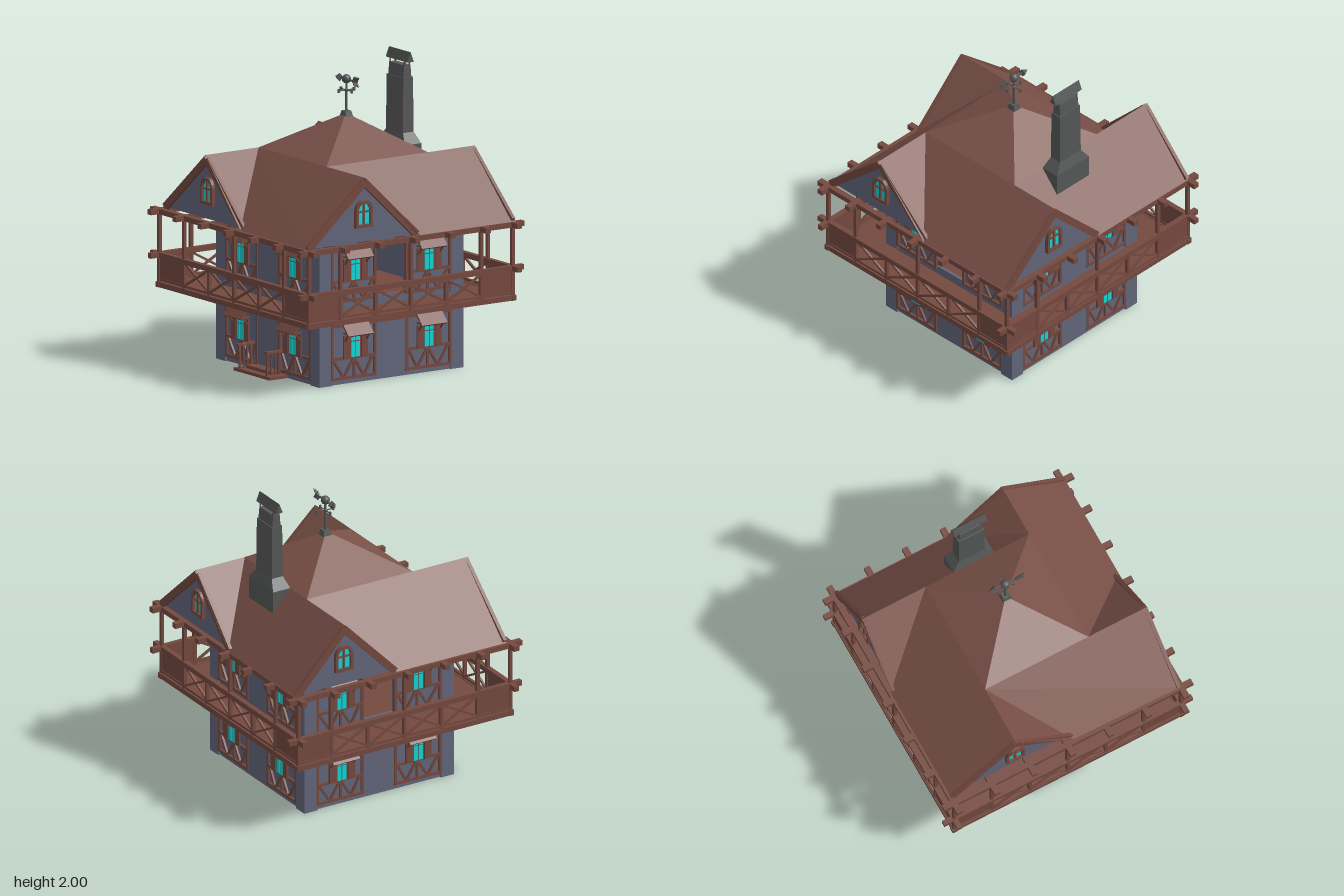
import * as THREE from 'three';

const mat = (color) => new THREE.MeshStandardMaterial({ color, flatShading: true, side: THREE.DoubleSide });
const WOOD = mat(0x74493f), ROOF = mat(0x7a5148), WALL = mat(0x62667a), IRON = mat(0x555756), GLASS = mat(0x12d6d6);
const V = (x, y, z) => new THREE.Vector3(x, y, z);

function add(parent, name, geo, material, x = 0, y = 0, z = 0) {
  const m = new THREE.Mesh(geo, material);
  m.name = name;
  m.position.set(x, y, z);
  parent.add(m);
  return m;
}
const box = (p, name, m, w, h, d, x, y, z) => add(p, name, new THREE.BoxGeometry(w, h, d), m, x, y, z);

// Timber from point a to point b, in the parent's own frame
function beam(p, name, m, a, b, w = 0.02, h = w) {
  const o = box(p, name, m, w, h, a.distanceTo(b), (a.x + b.x) / 2, (a.y + b.y) / 2, (a.z + b.z) / 2);
  o.quaternion.setFromRotationMatrix(new THREE.Matrix4().lookAt(b, a, V(0, 1, 0)));
}
function sub(parent, name, x = 0, y = 0, z = 0, ry = 0) {
  const g = new THREE.Group();
  g.name = name;
  g.position.set(x, y, z);
  g.rotation.y = ry;
  parent.add(g);
  return g;
}
function faces(p, name, m, polys) {
  const pos = [];
  for (const q of polys)
    for (let i = 1; i < q.length - 1; i++) for (const v of [q[0], q[i], q[i + 1]]) pos.push(v.x, v.y, v.z);
  const geo = new THREE.BufferGeometry();
  geo.setAttribute('position', new THREE.Float32BufferAttribute(pos, 3));
  geo.computeVertexNormals();
  add(p, name, geo, m);
}
// Box whose top is a different size from its base
function taper(p, name, m, w, d, w2, d2, y0, y1) {
  const geo = new THREE.BoxGeometry(w, y1 - y0, d), a = geo.attributes.position;
  for (let i = 0; i < a.count; i++)
    if (a.getY(i) > 0) { a.setX(i, a.getX(i) * w2 / w); a.setZ(i, a.getZ(i) * d2 / d); }
  geo.computeVertexNormals();
  add(p, name, geo, m, 0, (y0 + y1) / 2, 0);
}

// Shuttered window with a small braced awning, facing +z
function shutteredWindow(parent, x, y) {
  const g = sub(parent, 'window', x, y, 0);
  box(g, 'windowFrame', WOOD, 0.1, 0.16, 0.02, 0, 0, 0);
  for (const s of [-1, 1]) {
    box(g, 'pane', GLASS, 0.031, 0.1, 0.006, s * 0.0185, -0.02, 0.011);
    box(g, 'upperPane', GLASS, 0.031, 0.03, 0.006, s * 0.0185, 0.052, 0.011);
    box(g, 'shutter', WOOD, 0.05, 0.15, 0.014, s * 0.07, 0, 0.01);
    beam(g, 'awningBrace', WOOD, V(s * 0.085, 0.03, 0.005), V(s * 0.085, 0.09, 0.055), 0.01);
    beam(g, 'awningArm', WOOD, V(s * 0.085, 0.09, 0), V(s * 0.085, 0.09, 0.06), 0.01);
  }
  beam(g, 'awning', WOOD, V(0, 0.16, 0), V(0, 0.08, 0.072), 0.2, 0.012);
}

// Timbered storey on one side, facing +z
function facade(parent, half, y) {
  const g = sub(parent, 'timberFrame', 0, y, 0);
  const bar = (x0, y0, x1, y1, w = 0.018) => beam(g, 'timber', WOOD, V(x0, y0, -0.008), V(x1, y1, -0.008), w);
  bar(-0.47, 0.385, 0.47, 0.385);
  for (const s of [-1, 1]) {
    for (const u of [0.125, 0.465]) bar(s * u, 0.03, s * u, 0.39);
    bar(s * 0.125, 0.04, s * 0.465, 0.04);
    bar(s * 0.125, 0.17, s * 0.465, 0.17);
    const zig = [[0.14, 0.17], [0.21, 0.04], [0.29, 0.17], [0.37, 0.04], [0.455, 0.17]];
    for (let i = 0; i < 4; i++) bar(s * zig[i][0], zig[i][1], s * zig[i + 1][0], zig[i + 1][1], 0.014);
    bar(s * 0.29, 0.04, s * 0.29, 0.17, 0.014);
    shutteredWindow(g, s * 0.29, 0.245);
    box(g, 'cornerPillar', WALL, 0.1, 0.45, 0.03, s * (half - 0.05), 0.225, -0.015);
  }
}

// One side of the balcony, facing +z
function balconySide(parent, half) {
  const g = sub(parent, 'balconyRailing');
  box(g, 'deckEdge', WOOD, 2 * half + 0.04, 0.035, 0.03, 0, 0.477, 0);
  box(g, 'lowerRail', WOOD, 2 * half, 0.016, 0.02, 0, 0.51, 0);
  box(g, 'handrail', WOOD, 2 * half + 0.16, 0.035, 0.035, 0, 0.672, 0);
  box(g, 'eaveBeam', WOOD, 2 * half + 0.16, 0.035, 0.035, 0, 0.958, 0);
  const us = [-half, -0.555, -0.278, 0, 0.278, 0.555, half];
  us.forEach((u, i) => {
    const top = i % 2 === 1 || i === 0 || i === 6 ? 0.95 : 0.66;
    box(g, 'post', WOOD, 0.022, top - 0.47, 0.022, u, (top + 0.47) / 2, 0);
    box(g, 'joist', WOOD, 0.04, 0.035, 0.34, u, 0.958, -0.09);
    if (i === 6) return;
    const v = us[i + 1];
    if (i === 0 || i === 5) box(g, 'railPanel', WOOD, v - u, 0.16, 0.01, (u + v) / 2, 0.58, 0);
    else {
      beam(g, 'crossBrace', WOOD, V(u, 0.51, 0.004), V(v, 0.66, 0.004), 0.014);
      beam(g, 'crossBrace', WOOD, V(u, 0.66, -0.004), V(v, 0.51, -0.004), 0.014);
    }
  });
}

// Bargeboards, gable wall and arched window, origin at the ridge end, facing +z
function gable(g, l, r, drop) {
  faces(g, 'gableWall', WALL, [[V(-l, drop, -0.03), V(r, drop, -0.03), V(0, -0.01, -0.03)]]);
  for (const x of [-l, r])
    beam(g, 'bargeboard', WOOD, V(0, -0.03, -0.013), V(x * 0.98, drop + 0.005, -0.013), 0.024, 0.048);
  const arch = (w, h) => {
    const s = new THREE.Shape();
    s.moveTo(-w, -h); s.lineTo(w, -h); s.lineTo(w, h * 0.2);
    s.quadraticCurveTo(w, h * 0.75, w * 0.4, h);
    s.lineTo(-w * 0.4, h);
    s.quadraticCurveTo(-w, h * 0.75, -w, h * 0.2);
    return s;
  };
  const ring = arch(0.066, 0.088);
  ring.holes.push(arch(0.047, 0.068));
  const opt = { depth: 0.025, bevelEnabled: false, curveSegments: 5 };
  add(g, 'archedFrame', new THREE.ExtrudeGeometry(ring, opt), WOOD, 0, -0.24, -0.03);
  add(g, 'archedPane', new THREE.ShapeGeometry(arch(0.05, 0.07), 5), GLASS, 0, -0.24, -0.022);
  box(g, 'mullion', WOOD, 0.014, 0.14, 0.015, 0, -0.24, -0.018);
  box(g, 'glazingBar', WOOD, 0.1, 0.01, 0.015, 0, -0.225, -0.018);
}

export function createModel() {
  const root = new THREE.Group();
  root.name = 'timberHouse';
  const HX = 0.573, HZ = 0.5675;
  const body = sub(root, 'house', 0, 0, -0.035);
  box(body, 'groundFloor', WALL, 2 * HX - 0.03, 0.46, 2 * HZ - 0.03, 0, 0.23, 0);

  const points = (list) => list.map(([x, y]) => new THREE.Vector2(x, y));
  for (let i = 0; i < 4; i++) {
    const across = i % 2 === 0, half = across ? HX : HZ, dist = across ? HZ : HX, ry = i * Math.PI / 2;
    const side = sub(sub(body, 'houseSide', 0, 0, 0, ry), 'wallFace', 0, 0, dist);
    facade(side, half, 0);
    facade(side, half, 0.505);
    // Upper wall, with an open doorway on the left and right sides
    const w = half - 0.015;
    const wall = new THREE.Shape(points([[-w, 0.46], [w, 0.46], [w, 0.98], [-w, 0.98]]));
    if (!across) wall.holes.push(new THREE.Path(points([[-0.117, 0.55], [-0.117, 0.89], [0.117, 0.89], [0.117, 0.55]])));
    add(side, 'upperWall', new THREE.ExtrudeGeometry(wall, { depth: 0.02, bevelEnabled: false }), WALL, 0, 0, -0.035);
    box(side, 'doorPanel', WALL, 0.23, 0.34, 0.012, 0, 0.21, -0.012);
    if (across) box(side, 'upperDoor', WALL, 0.23, 0.34, 0.012, 0, 0.715, -0.012);
    // Plate and joist ends that carry the balcony
    box(side, 'wallPlate', WOOD, 2 * half + 0.1, 0.03, 0.035, 0, 0.437, 0.01);
    for (const u of [-0.555, -0.278, 0, 0.278, 0.555]) box(side, 'joistEnd', WOOD, 0.04, 0.035, 0.08, u, 0.442, 0.02);
    const pivot = sub(root, 'balconyPivot', 0, 0, -0.005, ry);
    balconySide(sub(pivot, 'balconySide', 0, 0, across ? 0.802 : 0.83), across ? 0.83 : 0.802);
  }
  box(root, 'balconyDeck', WOOD, 1.67, 0.03, 1.62, 0, 0.475, -0.005);

  // Pinwheel roof: four gabled wings around a central pyramid
  const RY = 1.4, EY = 0.975;
  const at = (y) => ([x, z]) => V(x, y, z);
  const c = [[-0.36, -0.45], [-0.36, 0.35], [0.395, 0.35], [0.395, -0.45]].map(at(RY));
  const e = [[-0.36, 0.77], [0.825, 0.35], [0.395, -0.82], [-0.825, -0.45]].map(at(RY));
  const v = [[-0.83, -0.06], [0.05, 0.785], [0.84, -0.07], [0, -0.82]].map(at(EY));
  const g = [[-0.83, 0.77], [0.825, 0.8], [0.84, -0.82], [-0.825, -0.82]].map(at(EY));
  const apex = V(0.017, 1.64, -0.07);
  const roof = sub(root, 'roof');
  for (let i = 0; i < 4; i++) {
    const j = (i + 1) % 4;
    faces(roof, 'roofSlopes', ROOF, [[c[i], v[i], g[i], e[i]], [c[j], e[i], v[j]], [c[i], c[j], apex]]);
    const end = sub(roof, 'gableEnd', e[i].x, RY, e[i].z, i * Math.PI / 2);
    const run = (p) => Math.hypot(p.x - e[i].x, p.z - e[i].z);
    gable(end, run(g[i]), run(v[j]), EY - RY);
  }

  // Chimney with a little gabled cap
  const ch = sub(root, 'chimney', -0.01, 0, -0.515);
  box(ch, 'chimneyBase', IRON, 0.295, 0.2, 0.13, 0, 1.3, 0);
  taper(ch, 'chimneyShoulder', IRON, 0.295, 0.13, 0.19, 0.084, 1.4, 1.47);
  taper(ch, 'chimneyStack', IRON, 0.19, 0.084, 0.185, 0.076, 1.47, 1.83);
  taper(ch, 'chimneyNeck', IRON, 0.17, 0.062, 0.165, 0.05, 1.83, 1.91);
  for (const s of [-1, 1]) {
    const x = s * 0.12;
    faces(ch, 'chimneyCap', IRON, [
      [V(-0.12, 2, 0), V(0.12, 2, 0), V(0.12, 1.935, s * 0.026), V(-0.12, 1.935, s * 0.026)],
      [V(x, 2, 0), V(x, 1.935, 0.026), V(x, 1.935, -0.026)],
    ]);
    for (const t of [-1, 1]) beam(ch, 'capLeg', IRON, V(s * 0.075, 1.9, t * 0.022), V(s * 0.085, 1.95, t * 0.016), 0.01);
  }

  // Weather vane
  const vane = sub(root, 'weatherVane', 0.017, 0, -0.075);
  taper(vane, 'vaneBase', IRON, 0.065, 0.065, 0.045, 0.045, 1.615, 1.655);
  add(vane, 'pole', new THREE.CylinderGeometry(0.007, 0.009, 0.23, 8), IRON, 0, 1.75, 0);
  add(vane, 'ball', new THREE.SphereGeometry(0.03, 12, 8), IRON, 0, 1.863, 0);
  add(vane, 'hub', new THREE.SphereGeometry(0.013, 8, 6), IRON, 0, 1.79, 0);
  beam(vane, 'arrowShaft', IRON, V(-0.11, 1.86, 0), V(0.12, 1.86, 0), 0.01);
  add(vane, 'arrowHead', new THREE.ConeGeometry(0.028, 0.05, 4), IRON, -0.1, 1.86, 0).rotation.z = Math.PI / 2;
  for (const x of [0.07, 0.09, 0.11]) for (const s of [-1, 1])
    beam(vane, 'feather', IRON, V(x, 1.86, 0), V(x + 0.025, 1.86 + s * 0.03, 0), 0.009);
  for (let i = 0; i < 4; i++) {
    const arm = sub(vane, 'compassArm', 0, 1.79, 0, i * Math.PI / 2);
    box(arm, 'rod', IRON, 0.055, 0.006, 0.006, 0.03, 0, 0);
    box(arm, 'rodEnd', IRON, 0.012, 0.024, 0.012, 0.06, 0, 0);
  }

  // Front steps with railings
  const porch = sub(root, 'porch');
  box(porch, 'lowerStep', WOOD, 0.4, 0.02, 0.14, 0, 0.01, 0.59);
  box(porch, 'upperStep', WOOD, 0.28, 0.02, 0.08, 0, 0.03, 0.565);
  for (const s of [-1, 1]) {
    for (const z of [0.555, 0.645]) beam(porch, 'porchPost', WOOD, V(s * 0.15, 0.01, z), V(s * 0.158, 0.175, z), 0.014);
    for (const z of [0.585, 0.615]) beam(porch, 'baluster', WOOD, V(s * 0.15, 0.01, z), V(s * 0.158, 0.17, z), 0.008);
    box(porch, 'porchRail', WOOD, 0.03, 0.012, 0.13, s * 0.158, 0.174, 0.597);
  }
  return root;
}
